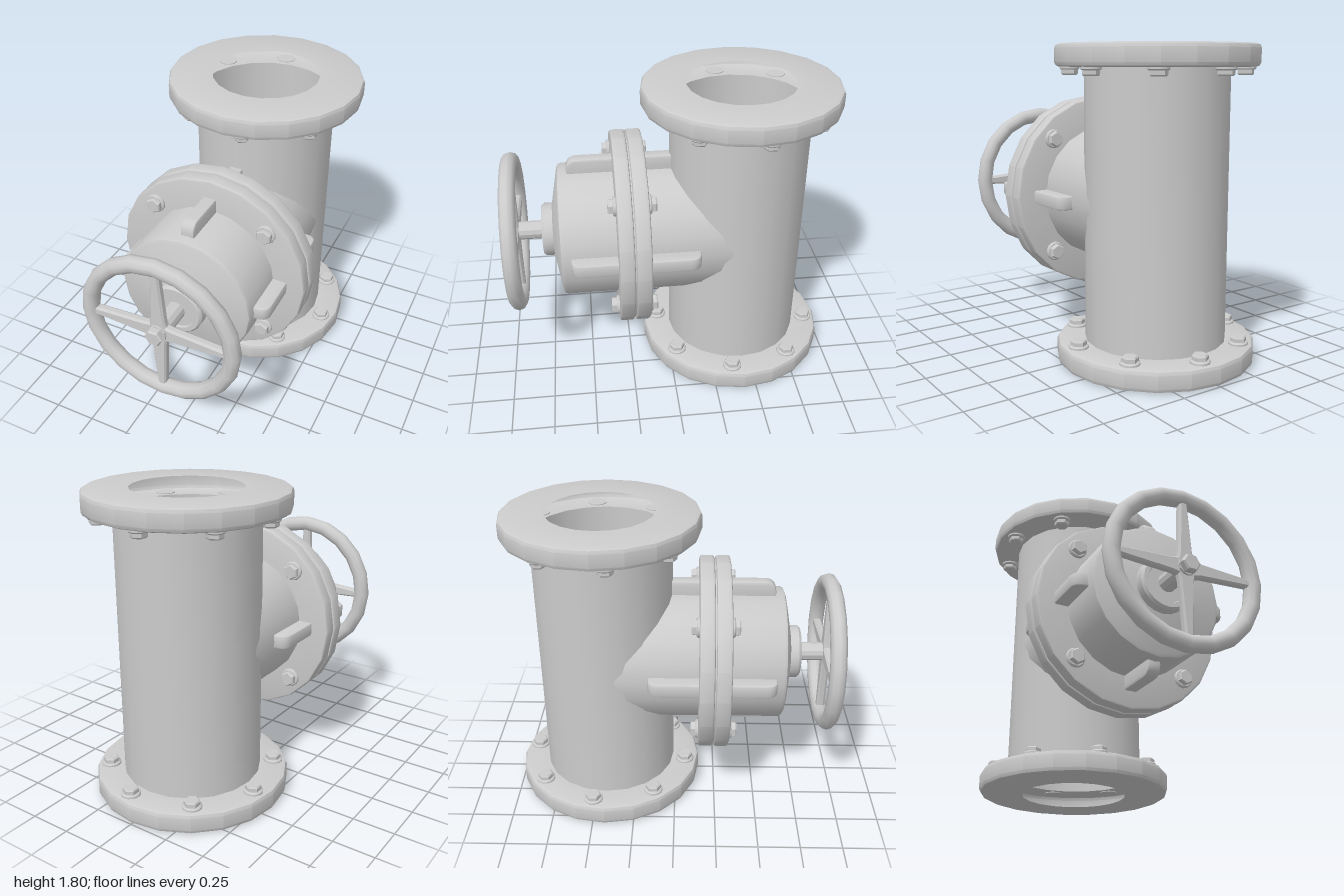
import * as THREE from 'three';
import { toCreasedNormals } from 'three/addons/utils/BufferGeometryUtils.js';

const SIDES = 20;
const PIPE_Z = -0.425, PIPE_R = 0.41;   // vertical pipe
const VALVE_Y = 0.907, BODY_R = 0.4;    // horizontal valve axis
const HEIGHT = 1.805;

const grey = new THREE.MeshStandardMaterial({ color: 0xcccccc });
const greyShell = new THREE.MeshStandardMaterial({ color: 0xcccccc, side: THREE.DoubleSide });

function add(parent, name, geometry, material = grey) {
  const mesh = new THREE.Mesh(geometry, material);
  mesh.name = name;
  parent.add(mesh);
  return mesh;
}

function lathe(profile, sides = SIDES) {
  return new THREE.LatheGeometry(profile.map(([r, y]) => new THREE.Vector2(r, y)), sides);
}

const crease = (geometry, angle = 0.5) => toCreasedNormals(geometry, angle);

// Rounded outer edge of a flange between two heights
function rim(r, y0, y1, b) {
  return [[r - b, y0], [r - 0.3 * b, y0 + 0.3 * b], [r, y0 + b],
    [r, y1 - b], [r - 0.3 * b, y1 - 0.3 * b], [r - b, y1]];
}

// Bolt standing on y = 0
function bolt() {
  const group = new THREE.Group();
  group.name = 'bolt';
  add(group, 'washer', crease(lathe([[0, -0.005], [0.057, -0.005], [0.057, 0.01], [0.05, 0.017], [0, 0.017]], 14)));
  add(group, 'boltHead', crease(lathe([[0.047, 0.012], [0.047, 0.038], [0.04, 0.046], [0, 0.046]], 6)));
  return group;
}

// Pipe and both end flanges as one hollow shell
function buildPipe() {
  const group = new THREE.Group();
  group.name = 'pipe';
  group.position.z = PIPE_Z;
  const t = 0.125, bore = 0.315;
  add(group, 'pipeShell', crease(lathe([
    [bore, 0], ...rim(0.575, 0, t, 0.025), [PIPE_R, t],
    [PIPE_R, HEIGHT - t], ...rim(0.575, HEIGHT - t, HEIGHT, 0.025), [bore, HEIGHT],
  ])), greyShell);
  // Eight bolts per flange, the pattern mirrored between the two
  for (let i = 0; i < 8; i++) {
    const a = 0.143 + i * Math.PI / 4;
    const x = 0.49 * Math.sin(a), z = 0.49 * Math.cos(a);
    const upper = bolt();
    upper.position.set(x, HEIGHT - t, z);
    upper.rotation.x = Math.PI;
    const lower = bolt();
    lower.position.set(-x, t, z);
    group.add(upper, lower);
  }
  return group;
}

// Valve bonnet: built along y, turned to face +z
function buildBonnet() {
  const group = new THREE.Group();
  group.name = 'bonnet';
  group.position.y = VALVE_Y;

  // Body, its back edge trimmed to the round of the pipe
  const body = lathe([[BODY_R, -1], [BODY_R, 0.625], [0.393, 0.642], [0.375, 0.65], [0.15, 0.692]]);
  const p = body.attributes.position;
  for (let i = 0; i < p.count; i++) {
    if (p.getY(i) > -0.9) continue;
    const x = p.getX(i);
    p.setY(i, PIPE_Z + Math.sqrt(Math.max(0, PIPE_R ** 2 - x * x)) - 0.015);
  }
  add(group, 'bonnetBody', crease(body).rotateX(Math.PI / 2), greyShell);

  // Pair of flange plates
  for (const z of [0.14, 0.235]) {
    const plate = lathe([[0.3, z], ...rim(0.585, z, z + 0.088, 0.014), [0.3, z + 0.088]]);
    add(group, 'bonnetFlange', crease(plate).rotateX(Math.PI / 2));
  }
  add(group, 'gasket', crease(lathe([[0.565, 0.22], [0.565, 0.24]])).rotateX(Math.PI / 2));

  // Bolts on both faces of the flange pair
  for (let i = 0; i < 4; i++) {
    const a = Math.PI / 4 + i * Math.PI / 2;
    for (const [z, dir] of [[0.323, 1], [0.14, -1]]) {
      const b = bolt();
      b.position.set(0.487 * Math.cos(a), 0.487 * Math.sin(a), z);
      b.rotation.x = dir * Math.PI / 2;
      group.add(b);
    }
  }

  // Four stiffening ribs with rounded outer corners
  const bev = 0.012, z0 = -0.155 + bev, z1 = 0.59 - bev, r0 = 0.34, r1 = 0.478 - bev, c = 0.055;
  const shape = new THREE.Shape();
  shape.moveTo(z0, r0);
  shape.lineTo(z1, r0);
  shape.lineTo(z1, r1 - c);
  shape.quadraticCurveTo(z1, r1, z1 - c, r1);
  shape.lineTo(z0 + c, r1);
  shape.quadraticCurveTo(z0, r1, z0, r1 - c);
  shape.closePath();
  const rib = new THREE.ExtrudeGeometry(shape, {
    depth: 0.08 - 2 * bev, bevelThickness: bev, bevelSize: bev, bevelSegments: 2, curveSegments: 5,
  });
  rib.translate(0, 0, -0.04 + bev).rotateY(-Math.PI / 2);
  const ribGeometry = crease(rib, 0.6);
  for (let i = 0; i < 4; i++) add(group, 'rib', ribGeometry).rotation.z = i * Math.PI / 2;

  // Stem seat and stem
  add(group, 'stemSeat', crease(lathe([
    [0.16, 0.66], [0.16, 0.74], [0.147, 0.755], [0.12, 0.755], [0.115, 0.745], [0, 0.745],
  ])).rotateX(Math.PI / 2));
  add(group, 'stem', crease(lathe([[0.055, 0.74], [0.055, 0.96], [0, 0.96]], 12)).rotateX(Math.PI / 2));
  return group;
}

// Hand wheel with four tapering spokes
function buildHandWheel() {
  const group = new THREE.Group();
  group.name = 'handWheel';
  group.position.set(0, VALVE_Y, 0.922);
  add(group, 'wheelRim', new THREE.TorusGeometry(0.432, 0.048, 10, SIDES));

  const star = [];
  for (let i = 0; i < 4; i++) {
    const a = i * Math.PI / 2;
    for (const [x, y] of [[0.4, -0.014], [0.4, 0.014], [0.085, 0.033], [0.042, 0.042], [0.033, 0.085]]) {
      star.push(new THREE.Vector2(x * Math.cos(a) - y * Math.sin(a), x * Math.sin(a) + y * Math.cos(a)));
    }
  }
  const spokes = new THREE.ExtrudeGeometry(new THREE.Shape(star), {
    depth: 0.026, bevelThickness: 0.012, bevelSize: 0.01, bevelSegments: 1,
  });
  add(group, 'spokes', crease(spokes.translate(0, 0, -0.013)));

  const nut = crease(lathe([[0.053, 0], [0.053, 0.068], [0.045, 0.078], [0, 0.078]], 6));
  add(group, 'wheelNut', nut.rotateX(Math.PI / 2).rotateZ(Math.PI / 2));
  return group;
}

export function createModel() {
  const model = new THREE.Group();
  model.name = 'gateValve';
  model.add(buildPipe(), buildBonnet(), buildHandWheel());
  return model;
}
